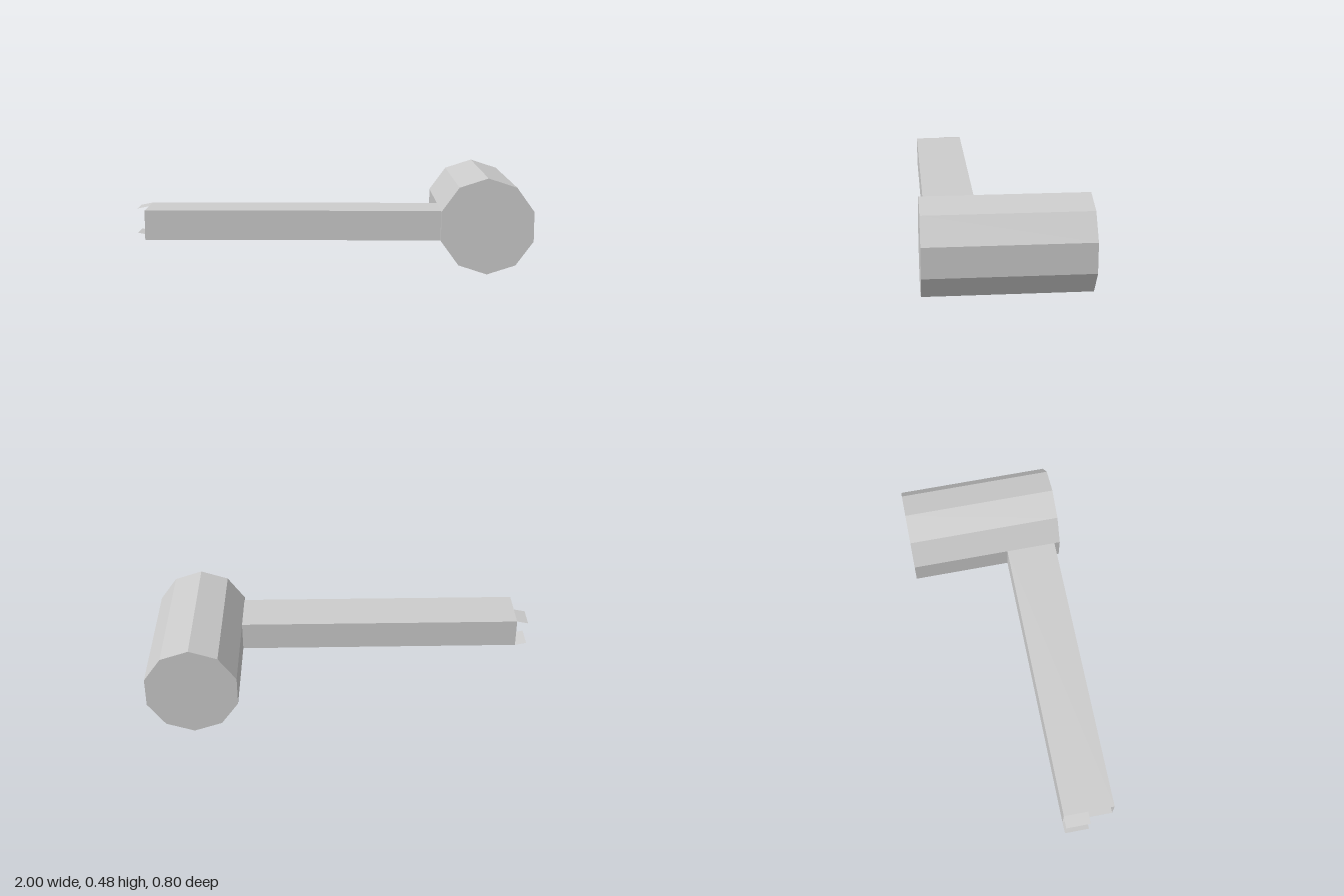
import * as THREE from 'three';

const material = new THREE.MeshStandardMaterial({ color: 0xcccccc, flatShading: true });
const sheet = new THREE.MeshStandardMaterial({ color: 0xcccccc, flatShading: true, side: THREE.DoubleSide });

const R = 0.242;                          // head radius
const CX = 1 - R * Math.cos(Math.PI / 10); // head axis
const CY = R;
const FACET = CX - R * Math.cos(Math.PI / 10); // flat side the handle grows from
const HALF = R * Math.sin(Math.PI / 10);  // half the handle height, one facet
const END = -0.94, BACK = 0.11, FRONT = 0.37;

// Flat thin panel lying in its local xy plane
function panel(name, width, height) {
  const mesh = new THREE.Mesh(new THREE.PlaneGeometry(width, height), sheet);
  mesh.name = name;
  return mesh;
}

export function createModel() {
  const model = new THREE.Group();
  model.name = 'mallet';

  // Ten-sided head lying along z
  const head = new THREE.Mesh(new THREE.CylinderGeometry(R, R, 0.8, 10).rotateX(Math.PI / 2), material);
  head.name = 'head';
  head.position.set(CX, CY, 0);
  model.add(head);

  // Hollow rectangular handle, open at the far end
  const handle = new THREE.Group();
  handle.name = 'handle';
  const length = FACET - END, midX = (FACET + END) / 2;

  for (const [name, z] of [['handleFront', FRONT], ['handleBack', BACK]]) {
    const side = panel(name, length, HALF * 2);
    side.position.set(midX, CY, z);
    handle.add(side);
  }

  for (const s of [1, -1]) {
    const label = s > 0 ? 'Top' : 'Bottom';
    const wall = panel('handle' + label, length, FRONT - BACK);
    wall.rotation.x = -s * Math.PI / 2;
    wall.position.set(midX, CY + s * HALF, (FRONT + BACK) / 2);
    handle.add(wall);

    // Small end tab, bent slightly inwards
    const reach = 0.06, drop = 0.012, width = 0.125;
    const tab = panel('endTab' + label, Math.hypot(reach, drop), width);
    tab.geometry.rotateX(-s * Math.PI / 2);
    tab.rotation.z = s * Math.atan2(drop, reach);
    tab.position.set(END - reach / 2, CY + s * (HALF - drop / 2), BACK + width / 2);
    handle.add(tab);
  }
  model.add(handle);
  return model;
}
